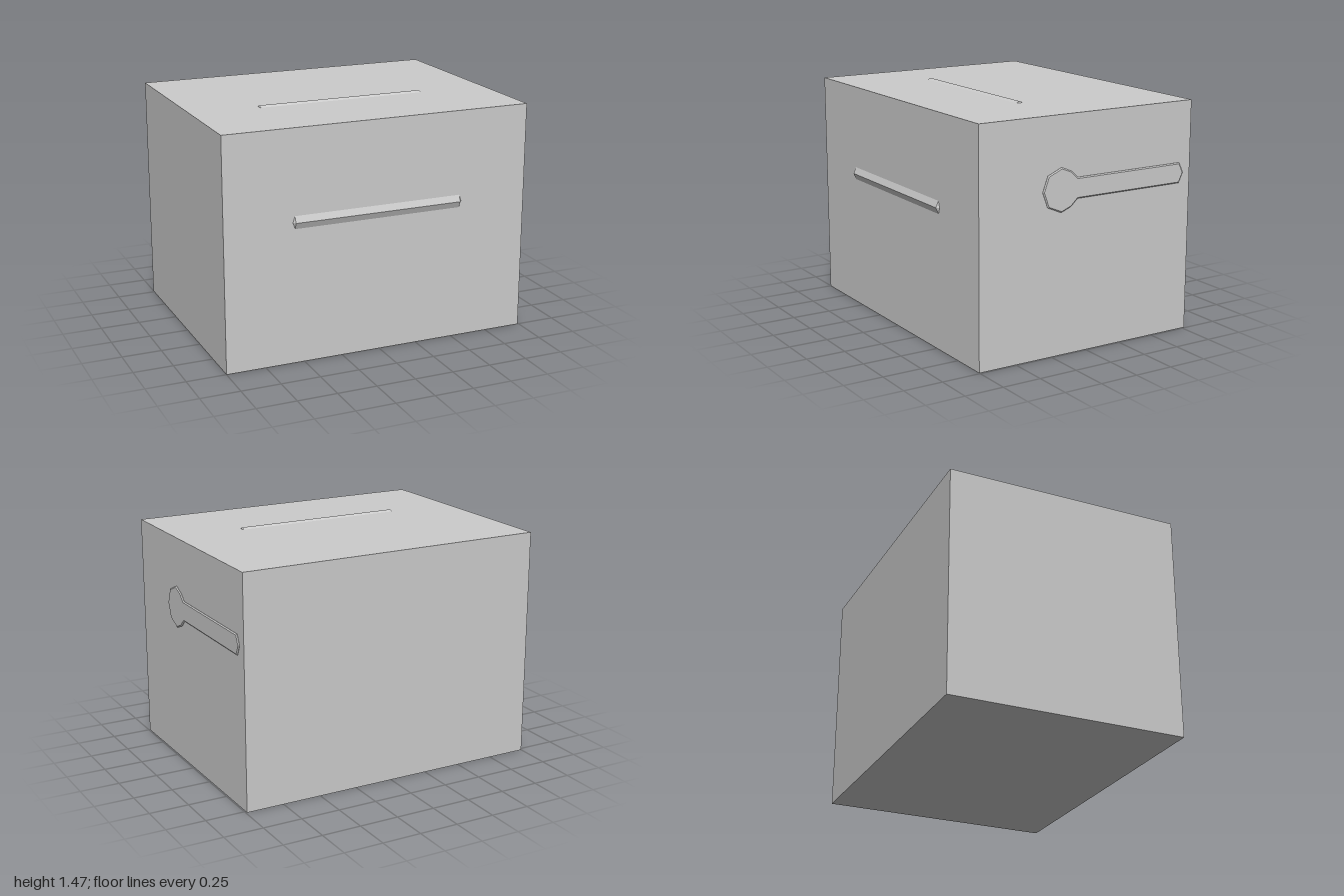
import * as THREE from 'three';
import { ConvexGeometry } from 'three/addons/geometries/ConvexGeometry.js';

const material = new THREE.MeshStandardMaterial({ color: 0xcccccc, flatShading: true });

function addPart(group, name, geometry, x, y, z) {
  const mesh = new THREE.Mesh(geometry, material);
  mesh.name = name;
  mesh.position.set(x, y, z);
  group.add(mesh);
  return mesh;
}

// Long ridged bar with pointed ends; the ridge faces +z
function ridgedBar() {
  const half = 0.545, tip = 0.558, width = 0.04, height = 0.018;
  const points = [];
  for (const s of [-1, 1]) {
    points.push(
      new THREE.Vector3(s * half, -width, 0),
      new THREE.Vector3(s * half, width, 0),
      new THREE.Vector3(s * tip, 0, 0),
      new THREE.Vector3(s * half, 0, height)
    );
  }
  return new ConvexGeometry(points);
}

// Lever outline: faceted round hub running into a straight pointed arm
function leverGeometry() {
  const upper = [[-0.13, 0], [-0.095, 0.095], [0, 0.135], [0.07, 0.107], [0.115, 0.064], [0.875, 0.064], [0.905, 0]];
  const lower = upper.slice(1, -1).reverse().map(([x, y]) => [x, -y]);
  const outline = [...upper, ...lower].map(([x, y]) => new THREE.Vector2(x, y));
  const geometry = new THREE.ExtrudeGeometry(new THREE.Shape(outline), {
    depth: 0.01, bevelEnabled: true, bevelSegments: 1,
    bevelThickness: 0.006, bevelSize: 0.007, bevelOffset: -0.007
  });
  return geometry.rotateY(Math.PI / 2);
}

export function createModel() {
  const group = new THREE.Group();
  group.name = 'box';

  // Plain block body
  addPart(group, 'body', new THREE.BoxGeometry(1.992, 1.463, 1.52), -0.004, 0.7315, -0.009);

  // Matching bars on the front and, sunk deeper, on the top
  addPart(group, 'frontBar', ridgedBar(), -0.01, 0.89, 0.751);
  addPart(group, 'topBar', ridgedBar(), -0.01, 1.455, 0.185).rotation.x = -Math.PI / 2;

  // Thin lever on the left side
  addPart(group, 'sideLever', leverGeometry(), 0.984, 1.016, 0.19);

  return group;
}
